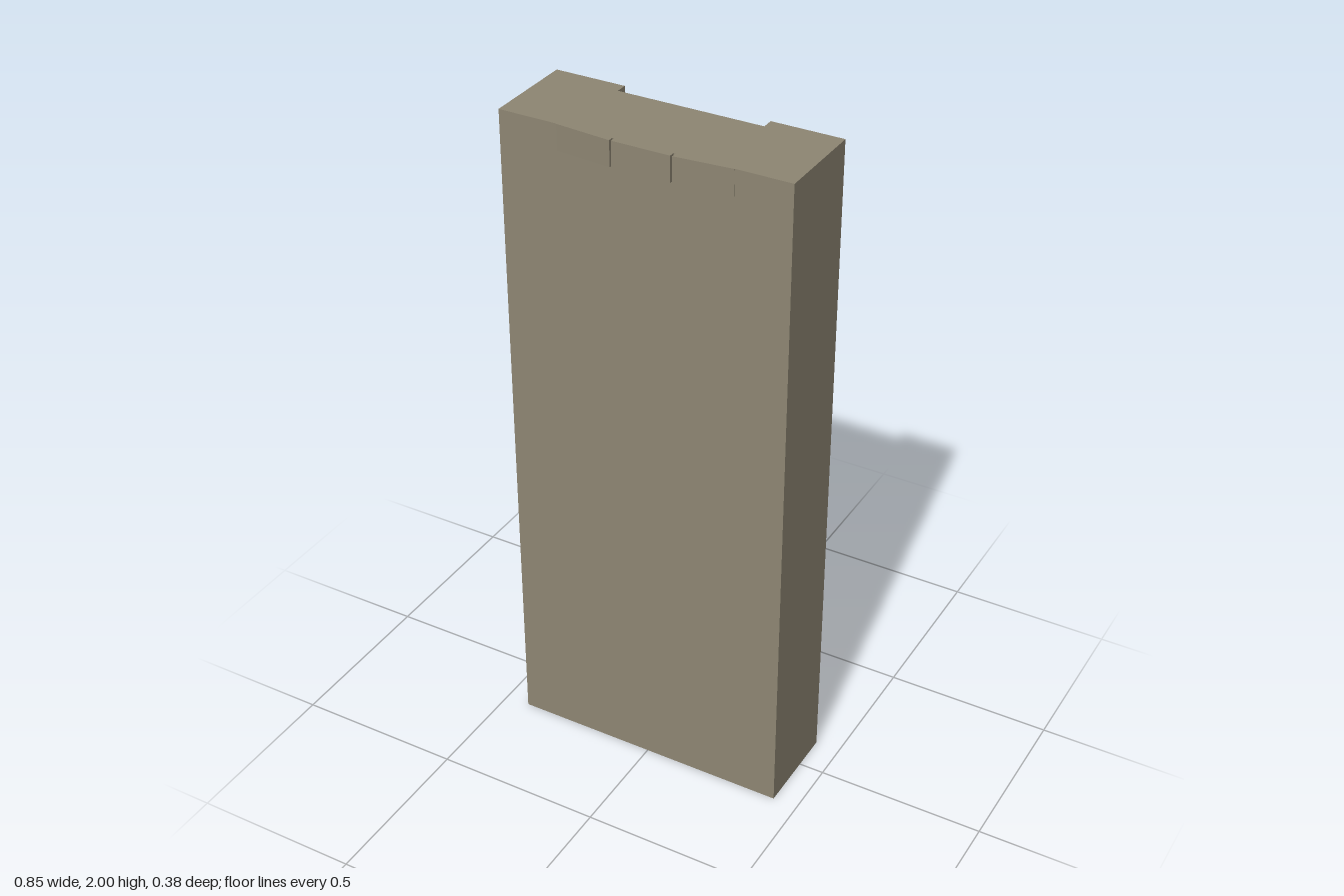
import * as THREE from 'three';

export function createModel() {
  const root = new THREE.Group();
  root.name = 'brickFacadePanel';
  const stone = new THREE.MeshStandardMaterial({ color: 0x8e8673 });
  stone.name = 'weathered stone';

  let seed = 7;
  const rand = () => (seed = (seed * 16807) % 2147483647) / 2147483647;

  const group = (name) => {
    const g = new THREE.Group();
    g.name = name;
    root.add(g);
    return g;
  };

  // Box whose outer face follows face(x); sides lean towards the curve centre.
  // chip = -1 or 1 breaks the upper outer corner at that x end.
  function brick(parent, x0, x1, y0, y1, zBack, face, chip = 0) {
    const geo = new THREE.BoxGeometry(1, 1, 1);
    const p = geo.attributes.position;
    const outward = face(x0) > zBack ? 1 : -1;
    for (let i = 0; i < p.count; i++) {
      const u = p.getX(i), v = p.getY(i), outer = p.getZ(i) * outward > 0;
      let x = u < 0 ? x0 : x1;
      let z = outer ? face(x) : zBack;
      if (outer && v > 0 && chip * u > 0) z += 0.025;
      if (outward < 0) x *= 1 - 0.5 * Math.max(0, -z - 0.11);
      p.setXYZ(i, x, v < 0 ? y0 : y1, z);
    }
    geo.computeVertexNormals();
    const mesh = new THREE.Mesh(geo, stone);
    mesh.name = 'brick';
    parent.add(mesh);
  }

  const curve = (base) => (x) => -(base + 0.27 * x * x);
  const GAP = 0.003;

  // Horizontal run of bricks split at the given x positions
  function course(name, xs, y0, y1, base, chips = []) {
    const g = group(name);
    for (let i = 0; i < xs.length - 1; i++) {
      const b = base + (rand() - 0.5) * 0.003;
      brick(g, xs[i] + GAP / 2, xs[i + 1] - GAP / 2, y0, y1, -0.07, curve(b), chips[i] || 0);
    }
  }

  // Vertical stack of bricks split at the given heights; ragged varies the inner edge
  function stack(name, side, xIn, xOut, ys, base, ragged = 0) {
    const g = group(name);
    for (let i = 0; i < ys.length - 1; i++) {
      const inner = xIn + (rand() - 0.5) * ragged;
      const b = base + (rand() - 0.5) * 0.005;
      const [a, c] = side > 0 ? [inner, xOut] : [-xOut, -inner];
      brick(g, a, c, ys[i] + GAP / 2, ys[i + 1] - GAP / 2, -0.07, curve(b));
    }
  }

  // Slab with a shallow full-height channel in the back
  const plan = new THREE.Shape();
  [[-0.425, -0.17], [0.425, -0.17], [0.425, 0.11], [0.215, 0.11], [0.215, 0.075],
    [-0.215, 0.075], [-0.215, 0.11], [-0.425, 0.11]]
    .forEach(([x, y], i) => (i ? plan.lineTo(x, y) : plan.moveTo(x, y)));
  const slabGeo = new THREE.ExtrudeGeometry(plan, { depth: 2, bevelEnabled: false });
  slabGeo.rotateX(-Math.PI / 2);
  const slab = new THREE.Mesh(slabGeo, stone);
  slab.name = 'wallSlab';
  root.add(slab);

  // Cornice, middle ledge and base
  const joints = [-0.37, -0.232, -0.104, 0.006, 0.14, 0.231, 0.37];
  course('cornice', joints, 1.602, 1.68, 0.154, [0, -1, -1, 0, -1, 0]);
  course('middleLedge', [-0.368, -0.26, -0.13, -0.02, 0.1, 0.25, 0.368], 1.003, 1.08, 0.134, [1, 0, -1, 0, 0, 1]);
  course('baseCourse', [-0.36, -0.2, -0.06, 0.08, 0.21, 0.36], 0.165, 0.208, 0.1);

  // Flat courses over and under the openings
  course('upperLintel', [-0.31, -0.19, -0.07, 0.05, 0.18, 0.31], 1.53, 1.6, 0.106);
  course('windowSill', [-0.215, -0.1, 0.07, 0.215], 1.095, 1.195, 0.093);
  course('doorLintel', [-0.31, -0.17, -0.05, 0.09, 0.2, 0.31], 0.925, 1.002, 0.106);

  // Stacked bricks on both sides of the window and door
  const upper = [1.08, 1.19, 1.29, 1.39, 1.5, 1.602];
  const lower = [0.208, 0.3, 0.38, 0.47, 0.56, 0.65, 0.74, 0.83, 0.91, 1.003];
  for (const side of [1, -1]) {
    const s = side > 0 ? 'left' : 'right';
    stack(s + 'UpperPilaster', side, 0.325, 0.367, upper, 0.112);
    stack(s + 'LowerPilaster', side, 0.325, 0.367, lower, 0.112);
    stack(s + 'UpperPier', side, 0.217, 0.312, upper.slice(0, 5).concat(1.53), 0.1);
    stack(s + 'LowerPier', side, 0.217, 0.312, lower.slice(0, 8).concat(0.925), 0.1);
    stack(s + 'WindowJamb', side, 0.1, 0.214, [1.197, 1.3, 1.4, 1.5], 0.092, 0.025);
    stack(s + 'DoorJamb', side, 0.176, 0.214, lower.slice(0, 8), 0.092, 0.016);
    stack(s + 'DoorCorbel', side, 0.12, 0.214, [0.832, 0.923], 0.094);
  }

  // Curved row of bricks showing through the top of the front
  const front = group('frontTopCourse');
  brick(front, -0.08, 0.09, 1.925, 2, 0.1, () => 0.186);
  brick(front, -0.25, -0.085, 1.925, 2, 0.1, (x) => 0.186 + (x + 0.085) * 0.088);
  brick(front, 0.096, 0.262, 1.925, 2, 0.1, (x) => 0.186 - (x - 0.096) * 0.088);

  return root;
}
